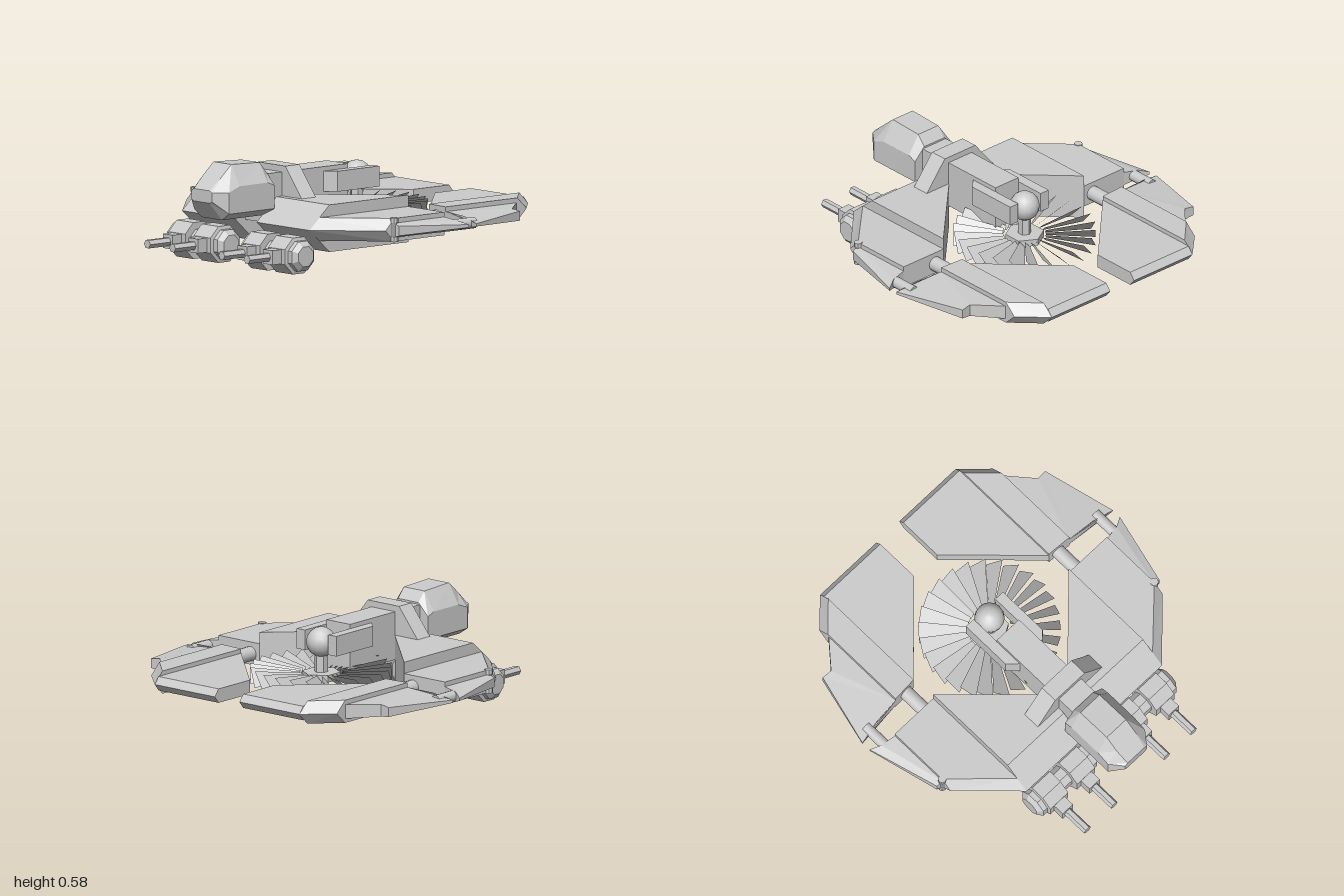
import * as THREE from 'three';

const mat = new THREE.MeshStandardMaterial({ color: 0xcccccc, flatShading: true });
const smooth = new THREE.MeshStandardMaterial({ color: 0xcccccc });
const thin = new THREE.MeshStandardMaterial({ color: 0xcccccc, flatShading: true, side: THREE.DoubleSide });

function add(parent, name, geo, x = 0, y = 0, z = 0, material = mat) {
  const m = new THREE.Mesh(geo, material);
  m.name = name;
  m.position.set(x, y, z);
  parent.add(m);
  return m;
}

// Skin a list of equal rings of [x, y, z] and close both ends
function loft(rings) {
  const n = rings[0].length, pos = rings.flat(2), idx = [];
  for (let r = 0; r < rings.length - 1; r++)
    for (let i = 0; i < n; i++) {
      const a = r * n + i, b = r * n + (i + 1) % n;
      idx.push(a, b, a + n, b, b + n, a + n);
    }
  const last = (rings.length - 1) * n;
  for (let i = 1; i < n - 1; i++) idx.push(0, i + 1, i, last, last + i, last + i + 1);
  const g = new THREE.BufferGeometry();
  g.setAttribute('position', new THREE.Float32BufferAttribute(pos, 3));
  g.setIndex(idx);
  const flat = g.toNonIndexed();
  flat.computeVertexNormals();
  return flat;
}

// Plate of [x, z] corners: widest at yMid, inset corners at top and bottom
function slab(outer, inner, yBot, yMid, yTop) {
  let area = 0;
  outer.forEach(([x, z], i) => {
    const [u, v] = outer[(i + 1) % outer.length];
    area += x * v - u * z;
  });
  const order = (p) => (area > 0 ? [...p].reverse() : p);
  const ring = (p, y) => order(p).map(([x, z]) => [x, y, z]);
  return loft([ring(inner, yBot), ring(outer, yMid), ring(inner, yTop)]);
}

// Wing tip whose corners [x, z, halfThickness] thin towards the outside
function taperedSlab(corners, y) {
  return loft([-1, 1].map((s) => corners.map(([x, z, h]) => [x, y + s * h, z])));
}

function buildSide() {
  const side = new THREE.Group();

  // Front plates
  add(side, 'frontInnerPlate', slab(
    [[.09, .33], [.53, -.105], [.53, .635], [.09, .635]],
    [[.09, .33], [.53, -.105], [.53, .485], [.09, .485]], .11, .245, .375));
  add(side, 'frontOuterPlate', slab(
    [[.53, -.105], [.83, -.105], [.83, .335], [.53, .635]],
    [[.53, -.105], [.83, -.105], [.83, .27], [.53, .56]], .18, .245, .31));
  add(side, 'frontWingTip', taperedSlab(
    [[.83, .275, .04], [.87, .27, .027], [.98, -.155, .008], [.92, -.12, .028], [.83, -.105, .04]], .243));

  // Rear plates, with a thicker strip between the inner plate and the tip
  add(side, 'rearInnerPlate', slab(
    [[.09, -1], [.53, -1], [.53, -.26], [.09, -.70]],
    [[.09, -.968], [.53, -.968], [.53, -.26], [.09, -.70]], .205, .245, .285));
  add(side, 'rearStrip', slab(
    [[.53, -1], [.68, -.855], [.68, -.25], [.53, -.26]],
    [[.53, -.935], [.68, -.785], [.68, -.25], [.53, -.26]], .18, .245, .31));
  add(side, 'rearWingTip', taperedSlab(
    [[.68, -.25, .04], [.85, -.235, .035], [.98, -.21, .008], [.87, -.635, .027], [.81, -.63, .035], [.68, -.78, .04]], .243));

  // Rods joining front and rear plates
  for (const [x, r] of [[.595, .042], [.897, .032]])
    add(side, 'connectingRod', new THREE.CylinderGeometry(r, r, .17, 12), x, .243, -.18, smooth).rotation.x = Math.PI / 2;

  // Small hinge post on the outer corner
  add(side, 'hingePost', new THREE.CylinderGeometry(.016, .016, .12, 8), .83, .247, .27);
  for (const y of [.193, .3])
    add(side, 'hingeCap', new THREE.CylinderGeometry(.024, .024, .028, 8), .83, y, .27);

  // Gun pod: stepped eight-sided drums on a sideways axis, each with a barrel
  const pod = new THREE.Group();
  pod.name = 'gunPod';
  pod.position.set(.31, .103, .675);
  side.add(pod);
  const profile = [[0, -.235], [.06, -.235], [.09, -.21], [.09, -.18], [.111, -.175], [.111, -.035],
    [.068, -.035], [.068, .035], [.111, .035], [.111, .175], [.09, .18], [.09, .21], [.06, .235], [0, .235]];
  const drums = add(pod, 'gunDrums', new THREE.LatheGeometry(profile.map(([r, h]) => new THREE.Vector2(r, h)), 8, Math.PI / 8));
  drums.rotation.z = Math.PI / 2;
  for (const x of [-.105, .105]) {
    add(pod, 'barrelMount', new THREE.BoxGeometry(.08, .08, .1), x, 0, .12);
    add(pod, 'gunBarrel', new THREE.CylinderGeometry(.026, .026, .17, 6), x, 0, .24).rotation.set(Math.PI / 2, Math.PI / 6, 0);
  }

  // Arm holding the turret ball
  const arm = [[.085, -.235], [.145, -.235], [.145, .08], [.085, .135]];
  add(side, 'turretArm', slab(arm, arm, .37, .43, .485));
  return side;
}

// Cockpit cross-section: half widths and heights of an eight-cornered ring
function cockpitRing(z, topW, topY, w, highY, lowY, botW, botY) {
  const half = [[botW, botY], [w, lowY], [w, highY], [topW, topY]];
  return [...half, ...half.map(([x, y]) => [-x, y]).reverse()].map(([x, y]) => [x, y, z]);
}

export function createModel() {
  const model = new THREE.Group();
  model.name = 'hoverCraft';

  const left = buildSide();
  left.name = 'leftSide';
  const right = buildSide();
  right.name = 'rightSide';
  right.scale.x = -1;
  model.add(left, right);

  // Spine
  add(model, 'spine', new THREE.BoxGeometry(.174, .275, .61), 0, .3725, .255);

  // Sloped collar across the spine
  const collar = new THREE.Shape([[-.255, .37], [.255, .37], [.115, .545], [-.115, .545]].map(([x, y]) => new THREE.Vector2(x, y)));
  add(model, 'collar', new THREE.ExtrudeGeometry(collar, { depth: .105, bevelEnabled: false }), 0, 0, .337);

  // Cockpit
  add(model, 'cockpit', loft([
    cockpitRing(.55, .075, .52, .145, .45, .32, .085, .28),
    cockpitRing(.6, .075, .577, .145, .47, .32, .085, .28),
    cockpitRing(.81, .075, .585, .145, .47, .32, .085, .28),
    cockpitRing(.89, .075, .515, .145, .44, .32, .085, .28),
    cockpitRing(.965, .065, .45, .085, .44, .39, .065, .38),
  ]));

  // Turret ball, axle and fan hub
  const cz = -.195;
  add(model, 'turretBall', new THREE.SphereGeometry(.085, 16, 8), 0, .425, cz, smooth);
  add(model, 'fanAxle', new THREE.CylinderGeometry(.038, .038, .16, 6), 0, .29, cz);
  add(model, 'fanHub', new THREE.CylinderGeometry(.11, .11, .04, 6), 0, .235, cz);
  add(model, 'fanCap', new THREE.CylinderGeometry(.042, .042, .045, 6), 0, .195, cz);

  // Ring of steeply tilted fan blades
  const fan = new THREE.Group();
  fan.name = 'fan';
  fan.position.set(0, .243, cz);
  model.add(fan);
  const count = 26;
  for (let i = 0; i < count; i++) {
    const blade = new THREE.PlaneGeometry(.275, 1).rotateX(-Math.PI / 2).translate(.2575, 0, 0);
    const p = blade.attributes.position;
    for (let k = 0; k < p.count; k++) {
      const s = Math.sign(p.getZ(k)), w = p.getX(k) * Math.tan(Math.PI / count);
      p.setXYZ(k, p.getX(k), s * w, s * w * .96);
    }
    blade.computeVertexNormals();
    add(fan, 'fanBlade', blade, 0, 0, 0, thin).rotation.y = (i / count) * Math.PI * 2;
  }
  return model;
}
